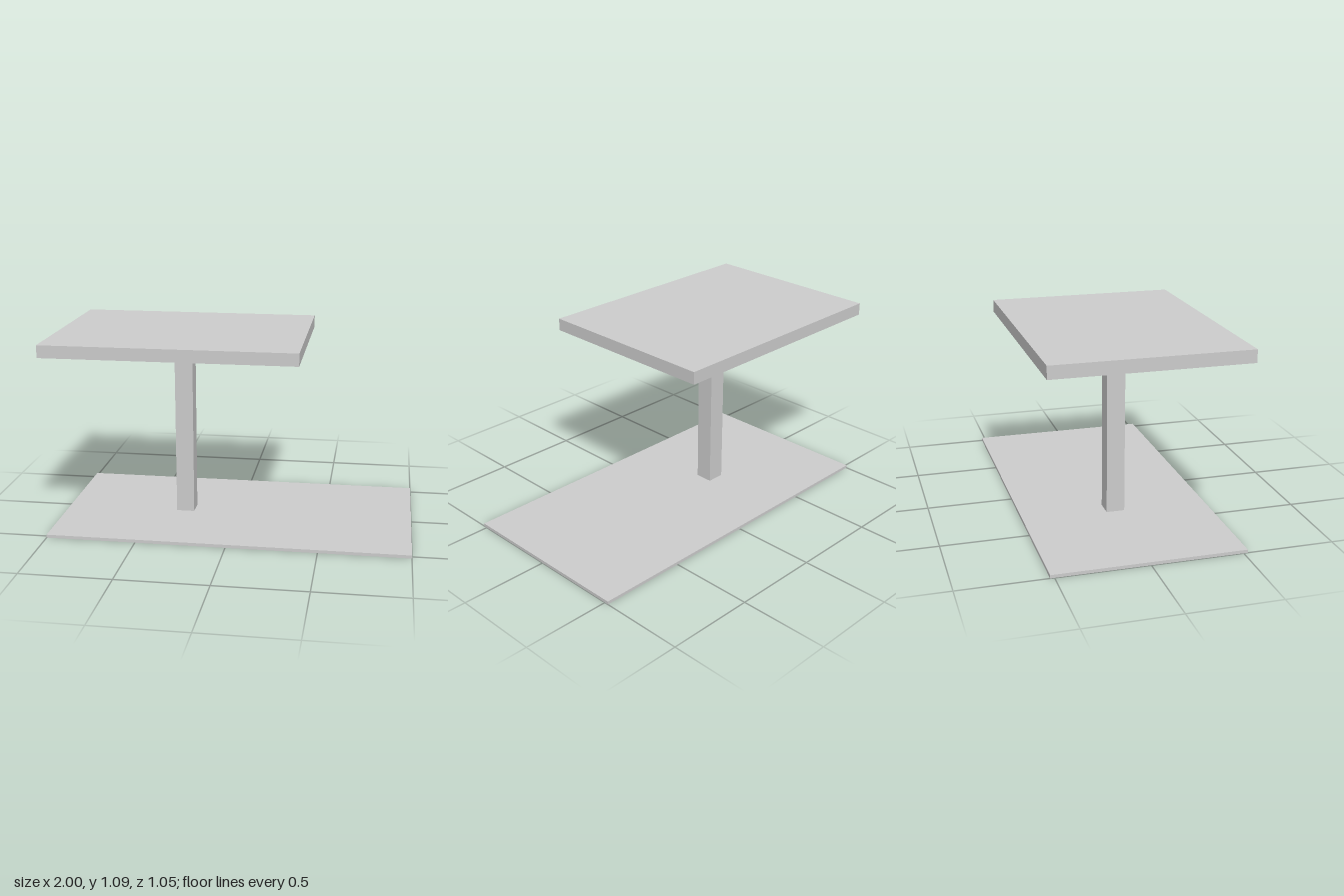
import * as THREE from 'three';

export function createModel() {
  const group = new THREE.Group();
  const lightGrey = new THREE.MeshStandardMaterial({ color: 0xcccccc });
  lightGrey.name = 'light grey';

  // Box given by its x and y extents and its depth, centred on z = 0
  function block(name, x0, x1, y0, y1, depth) {
    const mesh = new THREE.Mesh(new THREE.BoxGeometry(x1 - x0, y1 - y0, depth), lightGrey);
    mesh.name = name;
    mesh.position.set((x0 + x1) / 2, (y0 + y1) / 2, 0);
    group.add(mesh);
  }

  // Thin ground plate
  block('basePlate', -1, 1, 0, 0.0175, 1.046);
  // Square post under the middle of the top slab
  block('post', -0.358, -0.256, 0.0175, 0.984, 0.102);
  // Slab floating just above the post
  block('topSlab', -1, 0.386, 1.019, 1.088, 1.046);

  return group;
}
